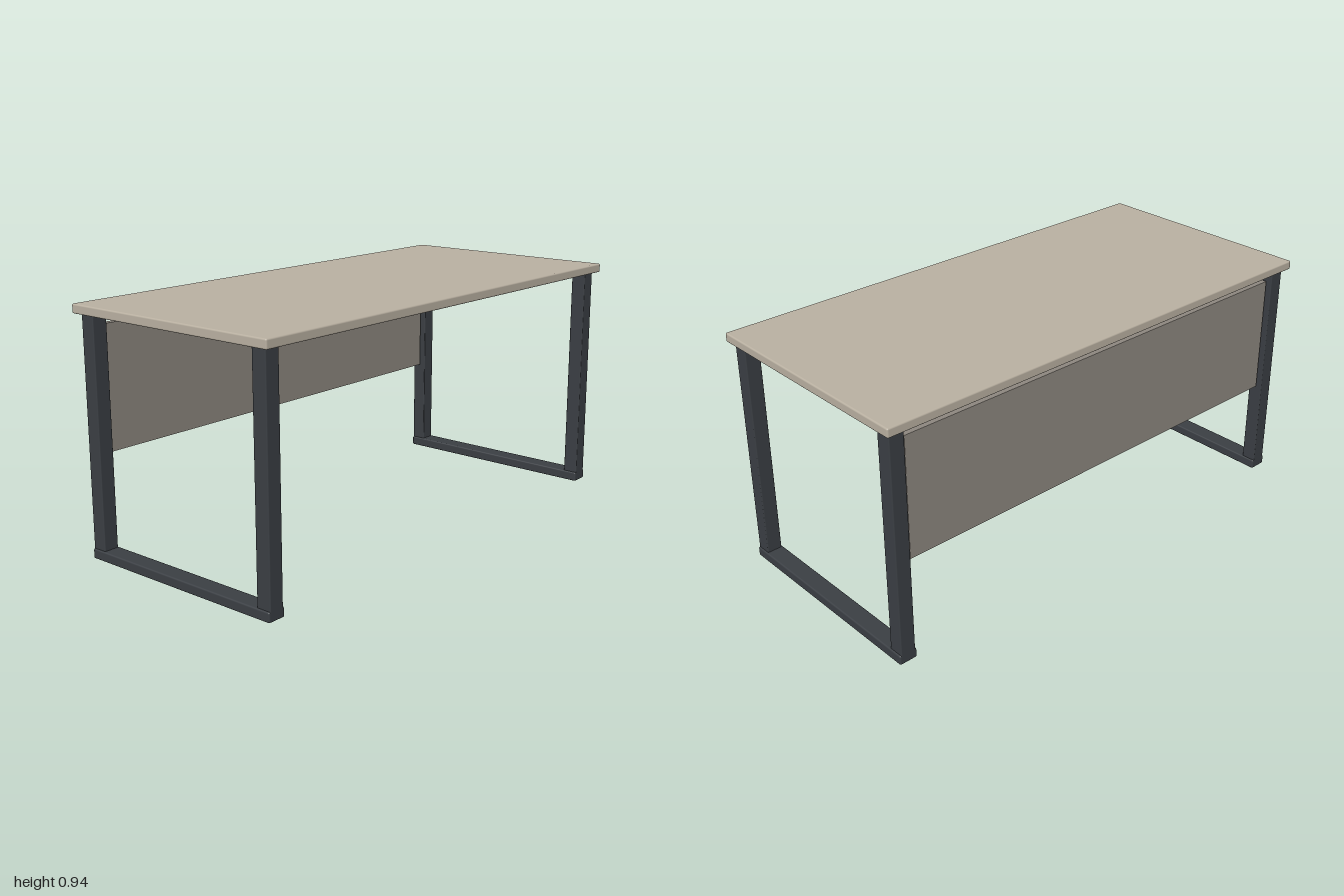
import * as THREE from 'three';
import { RoundedBoxGeometry } from 'three/addons/geometries/RoundedBoxGeometry.js';

const wood = new THREE.MeshStandardMaterial({ color: 0xb8afa0 });
const panel = new THREE.MeshStandardMaterial({ color: 0x8c867e });
const metal = new THREE.MeshStandardMaterial({ color: 0x3a3e43 });

// Box given by its min and max corners, with softly rounded edges if r > 0
function block(name, material, min, max, r = 0) {
  const s = max.map((v, i) => v - min[i]);
  const geometry = r > 0 ? new RoundedBoxGeometry(...s, 3, r) : new THREE.BoxGeometry(...s);
  const mesh = new THREE.Mesh(geometry, material);
  mesh.name = name;
  mesh.position.set(...min.map((v, i) => (v + max[i]) / 2));
  return mesh;
}

// One side frame: two square posts standing on a floor runner
function sideFrame(name, side) {
  const frame = new THREE.Group();
  frame.name = name;
  frame.add(
    block('frontLeg', metal, [-0.03, 0.01, 0.382], [0.03, 0.904, 0.442], 0.004),
    block('backLeg', metal, [-0.03, 0.01, -0.442], [0.03, 0.904, -0.382], 0.004),
    block('floorRunner', metal, [-0.036, 0, -0.442], [0.036, 0.038, 0.442], 0.006)
  );
  frame.position.x = side * 0.949;
  return frame;
}

export function createModel() {
  const desk = new THREE.Group();
  desk.name = 'desk';
  desk.add(
    block('desktop', wood, [-1, 0.903, -0.467], [1, 0.938, 0.467], 0.006),
    sideFrame('leftFrame', 1),
    sideFrame('rightFrame', -1),
    // Modesty panel between the back legs
    block('modestyPanel', panel, [-0.907, 0.395, -0.425], [0.907, 0.863, -0.4]),
    // Cable tray fixed to the panel's front
    block('cableTray', metal, [-0.56, 0.79, -0.4], [0.56, 0.863, -0.238])
  );
  return desk;
}
